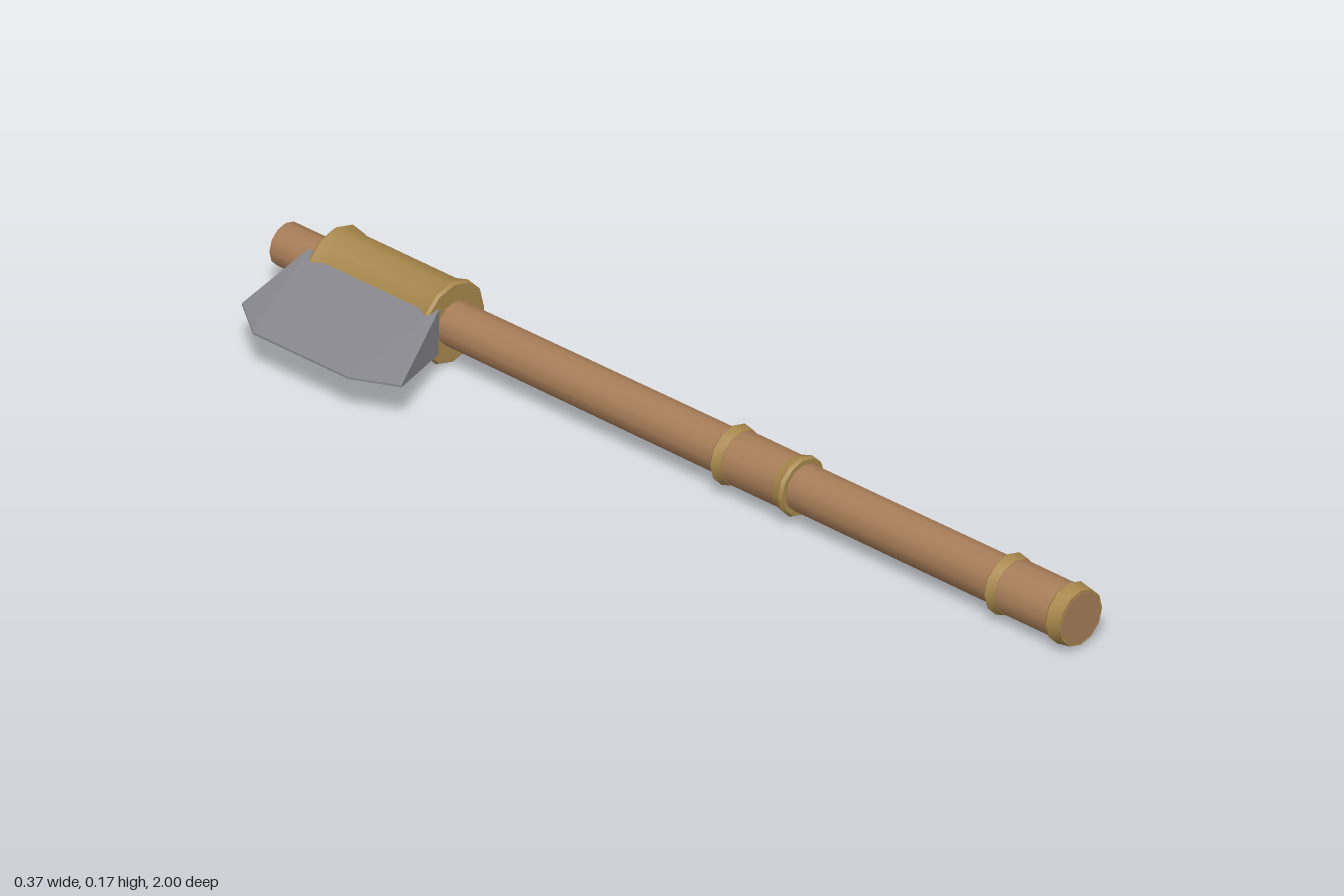
import * as THREE from 'three';
import { toCreasedNormals } from 'three/addons/utils/BufferGeometryUtils.js';

const SIDES = 12;

export function createModel() {
  const material = (name, color) => {
    const m = new THREE.MeshStandardMaterial({ color });
    m.name = name;
    return m;
  };
  const wood = material('wood', 0xa67c57);
  const brass = material('brass', 0xa6864b);
  const steel = material('steel', 0x87868d);

  const axe = new THREE.Group();
  axe.name = 'axe';

  // Turned part along z; profile is [radius, z] with z ascending
  const turned = (name, mat, profile) => {
    const lathe = new THREE.LatheGeometry(profile.map(([r, z]) => new THREE.Vector2(r, z)), SIDES);
    lathe.rotateX(Math.PI / 2);
    const mesh = new THREE.Mesh(toCreasedNormals(lathe, 0.6), mat);
    mesh.name = name;
    axe.add(mesh);
  };

  // Solid turned part, capped at both ends
  const solid = (name, mat, profile) =>
    turned(name, mat, [[0, profile[0][1]], ...profile, [0, profile[profile.length - 1][1]]]);

  // Shaft and its two wooden grips
  solid('shaft', wood, [[0.043, -1], [0.048, 0.98]]);
  solid('middleGrip', wood, [[0.053, 0.125], [0.053, 0.295]]);
  solid('buttGrip', wood, [[0.054, 0.815], [0.054, 0.97], [0.051, 1]]);

  // Flared brass rings on the ends of the grips
  solid('middleGripRearRing', brass, [[0.056, 0.12], [0.06, 0.125], [0.054, 0.145]]);
  solid('middleGripFrontRing', brass, [[0.054, 0.275], [0.06, 0.295], [0.056, 0.302]]);
  solid('buttGripRearRing', brass, [[0.056, 0.81], [0.061, 0.815], [0.055, 0.835]]);
  solid('buttRing', brass, [[0.055, 0.962], [0.061, 0.969], [0.056, 0.999]]);

  // Brass collar that holds the blade
  solid('collar', brass, [
    [0.079, -0.878], [0.084, -0.872], [0.076, -0.845],
    [0.076, -0.608], [0.083, -0.582], [0.079, -0.576],
  ]);

  // Wedge blade: [x, z, half thickness], thick at the root and thin at the rim
  const outline = [
    [0.055, -0.9, 0.046], [-0.12, -0.9, 0.002], [-0.185, -0.81, 0.002],
    [-0.185, -0.57, 0.002], [-0.14, -0.48, 0.002], [0.055, -0.572, 0.046],
  ];
  const n = outline.length;
  const positions = [];
  for (const side of [1, -1]) for (const [x, z, t] of outline) positions.push(x, side * t, z);
  const index = [];
  // Top and bottom faces, creased between the root and the cutting edge
  for (const [a, b, c] of [[0, 1, 2], [0, 2, 3], [0, 3, 5], [5, 3, 4]]) {
    index.push(a, b, c, a + n, c + n, b + n);
  }
  // Narrow faces round the rim and the root
  for (let i = 0; i < n; i++) {
    const j = (i + 1) % n;
    index.push(i, i + n, j, j, i + n, j + n);
  }
  const bladeGeometry = new THREE.BufferGeometry();
  bladeGeometry.setAttribute('position', new THREE.Float32BufferAttribute(positions, 3));
  bladeGeometry.setIndex(index);
  const flat = bladeGeometry.toNonIndexed();
  flat.computeVertexNormals();
  const blade = new THREE.Mesh(flat, steel);
  blade.name = 'blade';
  blade.position.x = -0.1;
  axe.add(blade);

  // Lying down, resting on the butt ring and the collar
  axe.position.set(0.1, 0.0755, 0);
  axe.rotation.x = 0.0125;

  const model = new THREE.Group();
  model.name = 'model';
  model.add(axe);
  return model;
}
